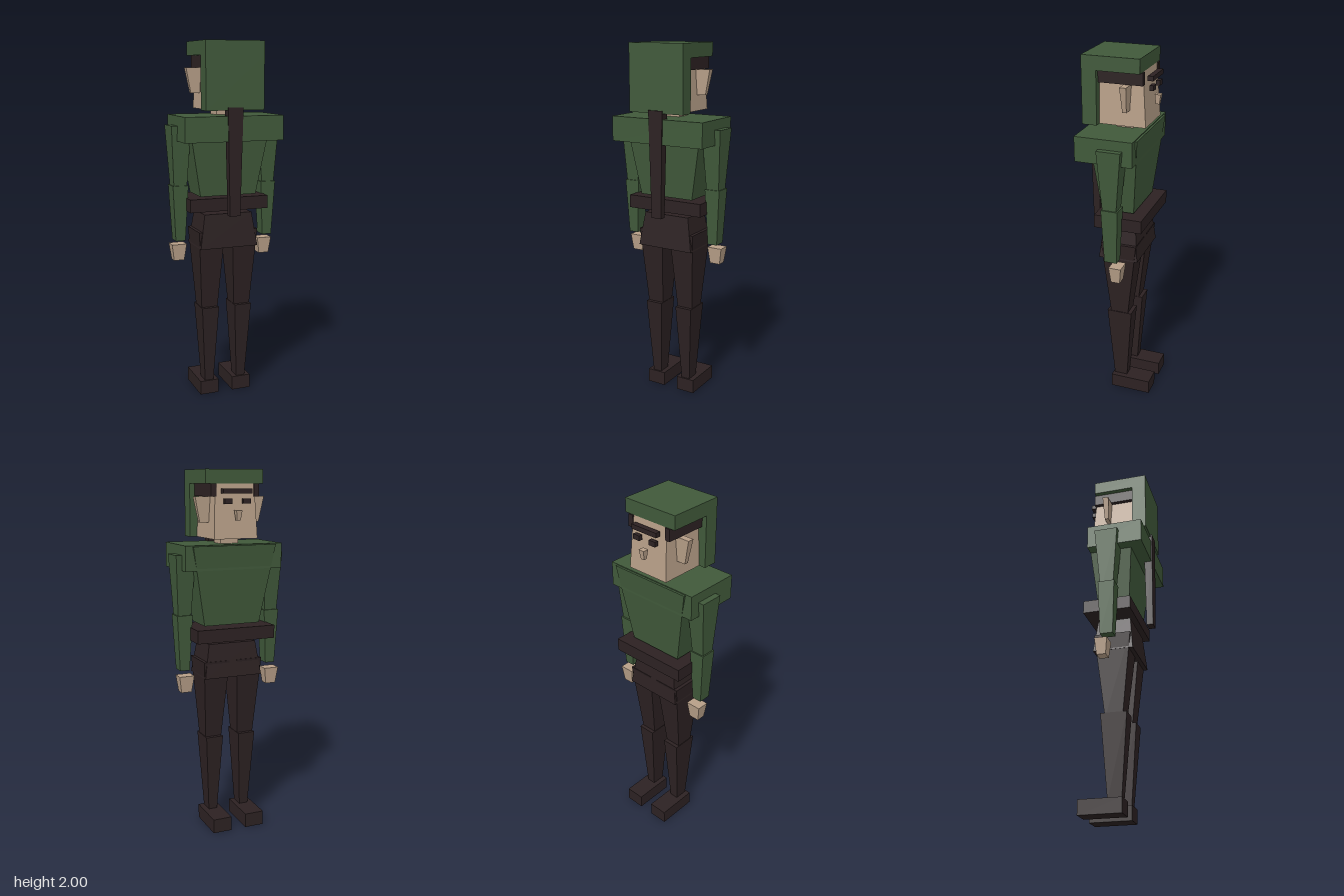
import * as THREE from 'three';

const green = new THREE.MeshStandardMaterial({ color: 0x40593a });
green.name = 'green cloth';
const dark = new THREE.MeshStandardMaterial({ color: 0x2c2122 });
dark.name = 'dark leather';
const skin = new THREE.MeshStandardMaterial({ color: 0xb79f88 });
skin.name = 'skin';

// Box between two heights whose ends are rectangles [x0, x1, z0, z1]
function block(name, material, y0, y1, bottom, top = bottom) {
  const geo = new THREE.BoxGeometry(1, 1, 1).toNonIndexed();
  const p = geo.attributes.position;
  for (let i = 0; i < p.count; i++) {
    const up = p.getY(i) > 0;
    const r = up ? top : bottom;
    p.setXYZ(i, p.getX(i) > 0 ? r[1] : r[0], up ? y1 : y0, p.getZ(i) > 0 ? r[3] : r[2]);
  }
  geo.computeVertexNormals();
  const mesh = new THREE.Mesh(geo, material);
  mesh.name = name;
  return mesh;
}

// Same block on the left (+x) and right (-x)
function pair(name, material, y0, y1, bottom, top = bottom) {
  const flip = ([a, b, c, d]) => [-b, -a, c, d];
  return [
    block('left' + name, material, y0, y1, bottom, top),
    block('right' + name, material, y0, y1, flip(bottom), flip(top)),
  ];
}

export function createModel() {
  const model = new THREE.Group();
  model.name = 'hoodedFigure';

  // Head and face (the face looks towards -z)
  const head = new THREE.Group();
  head.name = 'head';
  head.add(
    block('skull', skin, 1.64, 1.925, [-0.125, 0.125, -0.147, 0.105], [-0.112, 0.112, -0.127, 0.105]),
    block('neck', skin, 1.6, 1.65, [-0.052, 0.052, -0.055, 0.035]),
    ...pair('Ear', skin, 1.725, 1.86, [0.118, 0.172, -0.06, -0.038], [0.11, 0.2, -0.067, -0.032]),
    ...pair('Hair', dark, 1.86, 1.925, [0.108, 0.138, -0.135, 0.105]),
    block('brow', dark, 1.875, 1.9, [-0.083, 0.083, -0.171, -0.141]),
    ...pair('Eye', dark, 1.823, 1.85, [0.032, 0.074, -0.17, -0.148]),
    block('nose', skin, 1.738, 1.79, [-0.01, 0.01, -0.182, -0.162], [-0.017, 0.017, -0.19, -0.158]),
  );

  // Hood: roof plus back slab
  const hood = new THREE.Group();
  hood.name = 'hood';
  hood.add(
    block('hoodRoof', green, 1.925, 2, [-0.165, 0.165, -0.127, 0.185]),
    block('hoodBack', green, 1.64, 1.925, [-0.165, 0.165, 0.105, 0.185]),
  );

  // Torso, shoulder cape, belt and the blade on the back
  const body = new THREE.Group();
  body.name = 'body';
  body.add(
    block('tunic', green, 1.172, 1.605, [-0.162, 0.162, -0.097, 0.083], [-0.24, 0.24, -0.141, 0.122]),
    block('shoulderCape', green, 1.475, 1.61, [-0.28, 0.28, -0.129, 0.185]),
    block('belt', dark, 1.09, 1.162, [-0.227, 0.227, -0.161, 0.105]),
    block('pelvis', dark, 0.88, 1.07, [-0.168, 0.168, -0.12, 0.103], [-0.138, 0.138, -0.1, 0.083]),
    block('backBlade', dark, 1.072, 1.655, [-0.03, 0.03, 0.15, 0.186], [-0.043, 0.043, 0.142, 0.192]),
  );

  // Arms
  const arms = new THREE.Group();
  arms.name = 'arms';
  arms.add(
    ...pair('UpperArm', green, 1.17, 1.557, [0.225, 0.293, -0.042, 0.025], [0.202, 0.313, -0.077, 0.054]),
    ...pair('Forearm', green, 0.922, 1.23, [0.232, 0.287, -0.045, 0.025], [0.215, 0.303, -0.056, 0.036]),
    ...pair('Hand', skin, 0.803, 0.895, [0.228, 0.287, -0.062, -0.012], [0.215, 0.3, -0.072, -0.003]),
  );

  // Legs and feet
  const legs = new THREE.Group();
  legs.name = 'legs';
  legs.add(
    ...pair('Thigh', dark, 0.5, 0.973, [0.052, 0.143, -0.055, 0.04], [0.022, 0.172, -0.113, 0.09]),
    ...pair('Shin', dark, 0.07, 0.528, [0.072, 0.122, -0.045, 0.03], [0.048, 0.148, -0.08, 0.064]),
    ...pair('Foot', dark, 0, 0.08, [0.043, 0.153, -0.194, 0.04]),
  );

  model.add(head, hood, body, arms, legs);
  return model;
}
